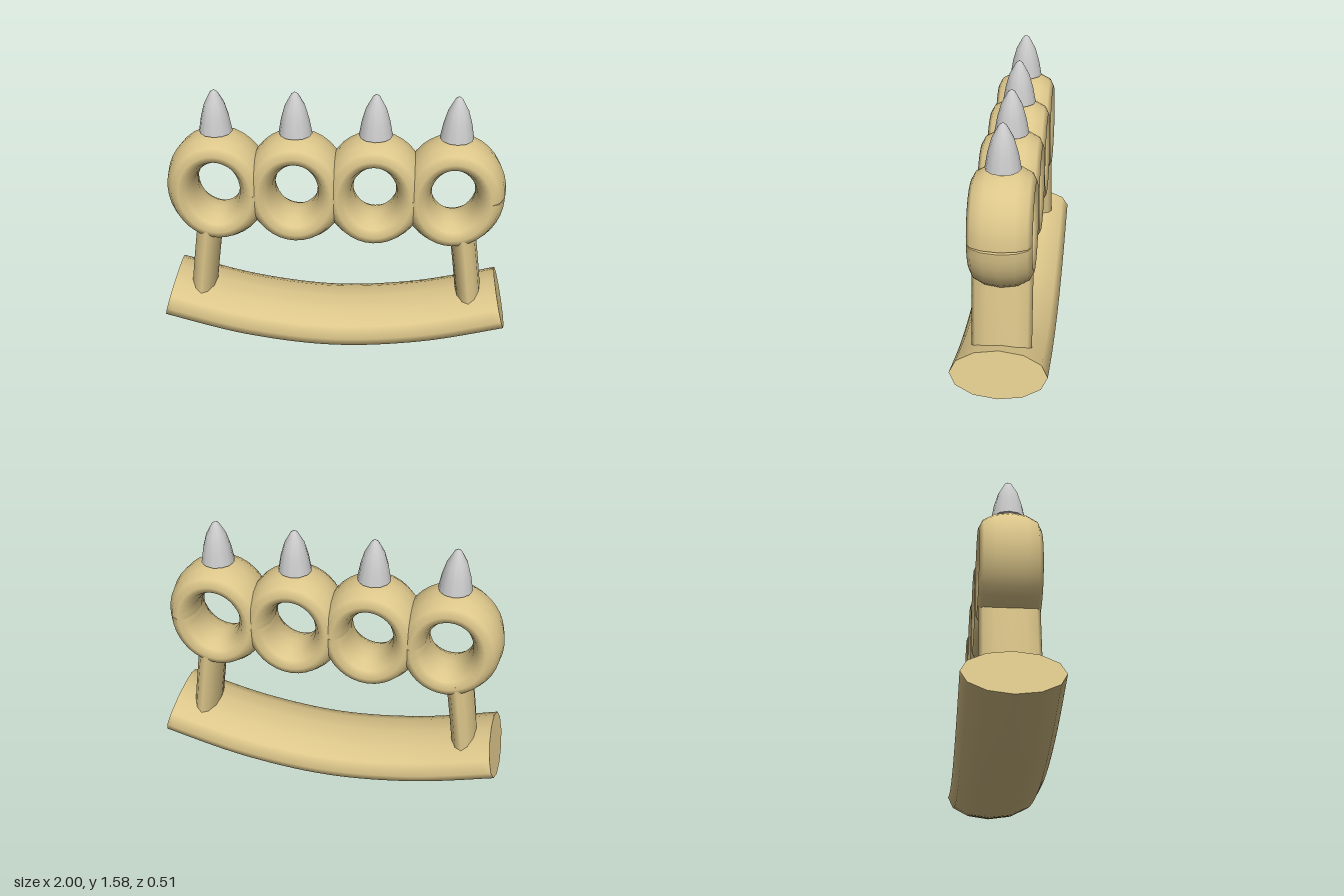
import * as THREE from 'three';

const SIDES = 12;
const brass = new THREE.MeshStandardMaterial({ color: 0xdcc68a });
const steel = new THREE.MeshStandardMaterial({ color: 0xcccccc });

// Sweeps an ellipse (inPlane x depth half sizes) along points in the XY plane, with flat end caps
function sweep(points, inPlane, depth) {
  const pos = [], idx = [], last = points.length - 1;
  const addLoop = (i) => {
    const p = points[i];
    const t = points[Math.min(i + 1, last)].clone().sub(points[Math.max(i - 1, 0)]).normalize();
    for (let j = 0; j < SIDES; j++) {
      const a = (j / SIDES) * Math.PI * 2, r = Math.cos(a) * inPlane;
      pos.push(p.x - t.y * r, p.y + t.x * r, Math.sin(a) * depth);
    }
  };
  for (let i = 0; i <= last; i++) addLoop(i);
  for (let i = 0; i < last; i++) {
    for (let j = 0; j < SIDES; j++) {
      const k = (j + 1) % SIDES, a = i * SIDES, b = a + SIDES;
      idx.push(a + j, a + k, b + k, a + j, b + k, b + j);
    }
  }
  // caps have their own vertices so their edges stay sharp
  for (const end of [0, last]) {
    const s = pos.length / 3;
    addLoop(end);
    for (let j = 1; j < SIDES - 1; j++) {
      if (end === 0) idx.push(s, s + j + 1, s + j);
      else idx.push(s, s + j, s + j + 1);
    }
  }
  const g = new THREE.BufferGeometry();
  g.setAttribute('position', new THREE.Float32BufferAttribute(pos, 3));
  g.setIndex(idx);
  g.computeVertexNormals();
  return g;
}

const pathPoints = (pts, n) =>
  new THREE.SplineCurve(pts.map(([x, y]) => new THREE.Vector2(x, y))).getPoints(n);

export function createModel() {
  const model = new THREE.Group();
  const add = (name, geometry, material, x = 0, y = 0) => {
    const mesh = new THREE.Mesh(geometry, material);
    mesh.name = name;
    mesh.position.set(x, y, 0);
    model.add(mesh);
    return mesh;
  };

  // four oval finger rings, each with a fine seam on its +x side, and a spike on top
  const oval = [];
  for (let i = 0; i <= 36; i++) {
    const a = (i / 36) * Math.PI * 2;
    oval.push(new THREE.Vector2(Math.cos(a) * 0.205, Math.sin(a) * 0.24));
  }
  const ringGeometry = sweep(oval, 0.085, 0.165);
  const spikeProfile = [[0.093, 0], [0.078, 0.085], [0.056, 0.163], [0.02, 0.23], [0, 0.245]]
    .map(([r, y]) => new THREE.Vector2(r, y));
  const spikeGeometry = new THREE.LatheGeometry(spikeProfile, SIDES);
  const baseGeometry = new THREE.CircleGeometry(0.093, SIDES).rotateX(Math.PI / 2);
  for (let i = 0; i < 4; i++) {
    const x = -0.66 + i * 0.44;
    add('fingerRing', ringGeometry, brass, x, 1.015);
    add('spike', spikeGeometry, steel, x, 1.34);
    add('spikeBase', baseGeometry, steel, x, 1.34);
  }

  // bowed palm grip
  const gripPath = [[-0.965, 0.303], [-0.5, 0.183], [0, 0.133], [0.5, 0.183], [0.965, 0.303]];
  add('palmGrip', sweep(pathPoints(gripPath, 32), 0.132, 0.257), brass);

  // flat oval posts joining the grip to the outer rings
  for (const s of [-1, 1]) {
    const path = [[s * 0.785, 0.3], [s * 0.752, 0.56], [s * 0.718, 0.8]];
    add(s > 0 ? 'leftPost' : 'rightPost', sweep(pathPoints(path, 8), 0.074, 0.16), brass);
  }
  return model;
}
